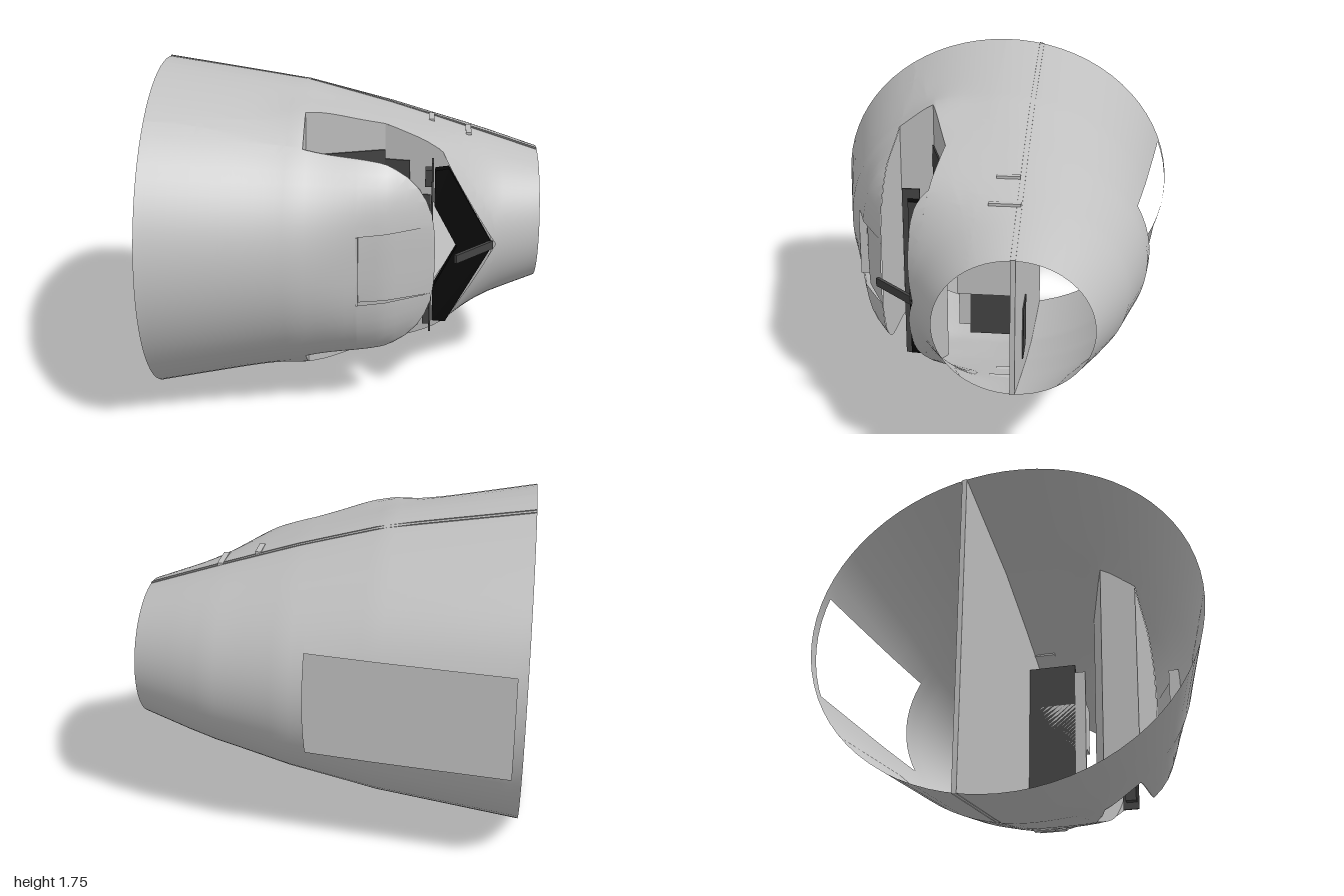
import * as THREE from 'three';
import { mergeVertices } from 'three/addons/utils/BufferGeometryUtils.js';

const CY = 0.88;
// stations along x: x, half height, front z, back z
const STATIONS = [
  [-1, 0.875, 0.975, -0.98], [-0.25, 0.752, 0.812, -0.905], [0.2, 0.622, 0.66, -0.86],
  [0.45, 0.54, 0.518, -0.8], [0.6, 0.49, 0.415, -0.765], [0.75, 0.44, 0.314, -0.71], [1, 0.357, 0.18, -0.61],
];

function station(x) {
  let i = 0;
  while (i < STATIONS.length - 2 && x > STATIONS[i + 1][0]) i++;
  const a = STATIONS[i], b = STATIONS[i + 1], t = (x - a[0]) / (b[0] - a[0]);
  const [ry, f, k] = [1, 2, 3].map((n) => a[n] + (b[n] - a[n]) * t);
  return { ry, cz: (f + k) / 2, rz: (f - k) / 2 };
}

// the front half grows squarer around the intake
const fullness = (x) => 2 + 1.55 * Math.exp(-(((x - 0.36) / (x < 0.36 ? 0.36 : 0.2)) ** 2));

// gentle flare of the skin along the intake lip
const flare = (x, z) => 1 + 0.05 * Math.exp(-(((x + 0.15) / 0.2) ** 2) - ((z - 0.32) / 0.12) ** 2);

function hullPoint(x, a) {
  const s = station(x), c = Math.cos(a), w = Math.sin(a);
  const n = c > 0 ? fullness(x) : 2;
  const r = (Math.abs(c) ** n + Math.abs(w) ** n) ** (-1 / n);
  const z = s.cz + s.rz * c * r;
  return new THREE.Vector3(x, CY + s.ry * w * r * flare(x, z), z);
}

function hullHalfHeight(x, z) {
  const s = station(x), u = (z - s.cz) / s.rz, n = u > 0 ? fullness(x) : 2;
  return s.ry * Math.max(0, 1 - Math.abs(u) ** n) ** (1 / n) * flare(x, z);
}

// part of a polygon where f >= 0
function clip(poly, f) {
  const out = [];
  poly.forEach((p, i) => {
    const q = poly[(i + 1) % poly.length], a = f(p), b = f(q);
    if (a >= 0) out.push(p);
    if ((a > 0 && b < 0) || (a < 0 && b > 0)) out.push(p.clone().lerp(q, a / (a - b)));
  });
  return out;
}

// divides polygons into those outside and inside a convex cutter
function cut(polys, planes) {
  const outside = [], inside = [];
  for (let rest of polys) {
    for (const f of planes) {
      if (rest.length < 3) break;
      const piece = clip(rest, (p) => -f(p));
      if (piece.length > 2) outside.push(piece);
      rest = clip(rest, f);
    }
    if (rest.length > 2) inside.push(rest);
  }
  return { outside, inside };
}

const boxCutter = (x0, x1, y0, y1, side) => [
  (p) => p.z * side, (p) => p.x - x0, (p) => x1 - p.x, (p) => p.y - y0, (p) => y1 - p.y,
];

// vertical prism from an x-z outline
const prismCutter = (pts) => pts.map(([x, z], i) => {
  const [x2, z2] = pts[(i + 1) % pts.length];
  return (p) => (x2 - x) * (p.z - z) - (z2 - z) * (p.x - x);
});

function polysToGeometry(polys) {
  const v = [];
  for (const p of polys) {
    for (let i = 1; i < p.length - 1; i++) {
      for (const c of [p[0], p[i], p[i + 1]]) v.push(c.x, c.y, c.z);
    }
  }
  let g = new THREE.BufferGeometry();
  g.setAttribute('position', new THREE.Float32BufferAttribute(v, 3));
  g = mergeVertices(g, 1e-4);
  g.computeVertexNormals();
  return g;
}

// upright sheet following an x-z path, trimmed to the skin
function curtain(path, grow = 0) {
  const v = [];
  for (let i = 0; i < path.length - 1; i++) {
    const [ax, az] = path[i], [bx, bz] = path[i + 1], n = 10;
    for (let k = 0; k < n; k++) {
      const [p, q] = [k / n, (k + 1) / n].map((t) => {
        const x = ax + (bx - ax) * t, z = az + (bz - az) * t;
        return { x, z, h: hullHalfHeight(x, z) + grow };
      });
      const P = [p.x, CY - p.h, p.z], Q = [q.x, CY - q.h, q.z];
      const R = [q.x, CY + q.h, q.z], S = [p.x, CY + p.h, p.z];
      v.push(...P, ...Q, ...R, ...P, ...R, ...S);
    }
  }
  const g = new THREE.BufferGeometry();
  g.setAttribute('position', new THREE.Float32BufferAttribute(v, 3));
  g.computeVertexNormals();
  return g;
}

export function createModel() {
  const model = new THREE.Group();
  const material = (name, color) => {
    const m = new THREE.MeshStandardMaterial({ color, side: THREE.DoubleSide });
    m.name = name;
    return m;
  };
  const grey = material('skin grey', 0xc0c0c0);
  const white = material('white', 0xf8f8f8);
  const dark = material('dark grey', 0x444444);
  const black = material('black', 0x080808);
  const add = (name, geometry, mat, x = 0, y = 0, z = 0) => {
    const m = new THREE.Mesh(geometry, mat);
    m.name = name;
    m.position.set(x, y, z);
    model.add(m);
    return m;
  };
  const box = (name, mat, w, h, d, x, y, z) => add(name, new THREE.BoxGeometry(w, h, d), mat, x, y, z);
  // upright slab between two x-z points
  const slab = (name, mat, [ax, az], [bx, bz], h, thick) => {
    const m = box(name, mat, Math.hypot(bx - ax, bz - az), h, thick, (ax + bx) / 2, CY, (az + bz) / 2);
    m.rotation.y = -Math.atan2(bz - az, bx - ax);
  };

  // tapered skin with door, service panel and chevron-ended intake cut out
  const cells = [], NX = 40, NA = 72;
  for (let i = 0; i < NX; i++) {
    for (let j = 0; j < NA; j++) {
      const x0 = -1 + (2 * i) / NX, x1 = -1 + (2 * (i + 1)) / NX;
      const a0 = (j / NA) * Math.PI * 2, a1 = ((j + 1) / NA) * Math.PI * 2;
      cells.push([hullPoint(x0, a0), hullPoint(x1, a0), hullPoint(x1, a1), hullPoint(x0, a1)]);
    }
  }
  const intake = prismCutter([[-0.22, 0.33], [0.18, 0.21], [0.78, 0.305], [0.57, 0.52], [-0.22, 0.52]]);
  for (const s of [1, -1]) intake.push((p) => (0.765 - p.x) * 1.7 - s * (p.y - CY));
  const doorless = cut(cells, boxCutter(-0.95, 0.08, 0.615, 1.16, -1)).outside;
  const panel = cut(doorless, boxCutter(0.06, 0.43, 0.69, 1.06, 1));
  add('skin', polysToGeometry(cut(panel.outside, intake).outside), grey);

  // service panel, sunk at its wide end
  const sunk = polysToGeometry(panel.inside);
  const sp = sunk.attributes.position;
  for (let i = 0; i < sp.count; i++) sp.setZ(i, sp.getZ(i) - 0.04 * (0.43 - sp.getX(i)) / 0.37);
  sunk.computeVertexNormals();
  add('servicePanel', sunk, grey);
  box('panelStep', grey, 0.008, 0.37, 0.06, 0.058, 0.875, 0.678);

  // lengthwise wall whose rim shows as a seam
  add('lengthwiseWall', curtain([[-1, -0.2], [1, -0.2], [1, -0.225], [-1, -0.225], [-1, -0.2]], 0.004), grey);

  // intake duct walls
  add('ductInnerWall', curtain([[-0.22, 0.33], [0.18, 0.21], [0.74, 0.298]]), grey);
  add('ductBulkhead', curtain([[-0.22, 0.33], [-0.22, 0.52]]), grey);
  add('ductOuterWall', curtain([[-0.22, 0.518], [0.43, 0.518]]), grey);
  slab('ductLining', dark, [-0.2, 0.332], [0.18, 0.218], 0.96, 0.008);
  slab('ductLining', dark, [0.18, 0.218], [0.31, 0.241], 0.86, 0.008);
  slab('ductLining', dark, [0.31, 0.241], [0.42, 0.258], 0.5, 0.008);

  // pale plate behind the grille notch
  const notch = new THREE.Shape([[0.43, 1.12], [0.43, 0.64], [0.57, CY]].map(([x, y]) => new THREE.Vector2(x, y)));
  add('notchPlate', new THREE.ShapeGeometry(notch), white, 0, 0, 0.3);

  // chevron grille, tapering in depth toward its tip, with its frame
  const chevron = new THREE.Shape([
    [0.44, 1.3], [0.51, 1.31], [0.75, CY], [0.51, 0.45], [0.44, 0.46], [0.44, 0.65], [0.56, CY], [0.44, 1.11],
  ].map(([x, y]) => new THREE.Vector2(x, y)));
  const grille = new THREE.ExtrudeGeometry(chevron, { depth: 1, bevelEnabled: false });
  const gp = grille.attributes.position;
  for (let i = 0; i < gp.count; i++) {
    gp.setZ(i, gp.getZ(i) > 0.5 ? 0.37 - (gp.getX(i) - 0.44) * 0.16 : 0.31);
  }
  grille.computeVertexNormals();
  add('grille', grille, black);
  box('grilleFrame', dark, 0.01, 0.94, 0.09, 0.428, CY, 0.355);
  for (const s of [1, -1]) box('grilleEndFrame', dark, 0.04, 0.09, 0.06, 0.41, CY + s * 0.385, 0.36);

  // splitter bar at the chevron tip
  slab('splitterBar', dark, [0.55, 0.52], [0.745, 0.312], 0.045, 0.018);

  // partition, side strip and box inside the narrow end
  box('partition', dark, 0.02, 0.8, 0.27, 0.3, CY, -0.065);
  box('partitionStrip', grey, 0.02, 0.7, 0.06, 0.3, CY, 0.1);
  box('equipmentBox', grey, 0.1, 0.28, 0.33, 0.34, 0.89, -0.035);

  for (const s of [1, -1]) {
    // dark panels on the back of the lengthwise wall
    box('wallPanel', dark, 0.18, 0.29, 0.008, 0.44, CY + s * 0.28, -0.228);
    // small ribs on the skin, above and below
    for (const [x, z, w] of [[0.62, -0.14, 0.16], [0.42, -0.14, 0.12]]) {
      box('skinRib', grey, 0.03, 0.014, w, x, CY + s * (hullHalfHeight(x, z) + 0.002), z);
    }
  }
  return model;
}
